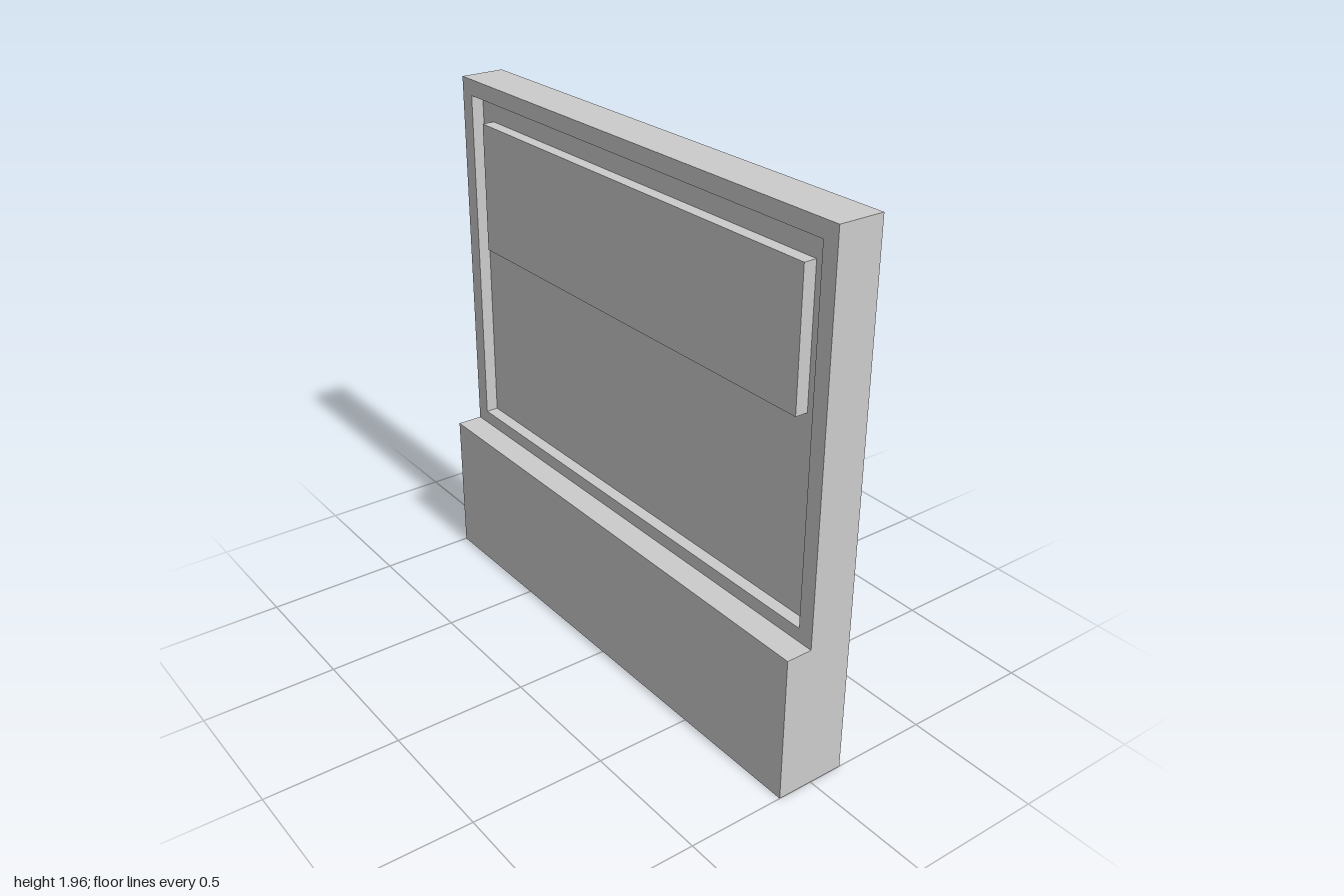
import * as THREE from 'three';

const material = new THREE.MeshStandardMaterial({ color: 0xcccccc, flatShading: true });

// Depth levels along x, from the recessed side (-x) to the plain side (+x)
const BASE_X = -0.135, FRAME_X = -0.037, FLOOR_X = 0.01, OUTER_X = 0.132;
const BASE_TOP = 0.55, TOP = 1.96;

// Box given by its extents, symmetric in z
function slab(name, x0, x1, y0, y1, halfZ) {
  const mesh = new THREE.Mesh(new THREE.BoxGeometry(x1 - x0, y1 - y0, 2 * halfZ), material);
  mesh.position.set((x0 + x1) / 2, (y0 + y1) / 2, 0);
  mesh.name = name;
  return mesh;
}

function rectangle(path, half, y0, y1) {
  path.moveTo(-half, y0);
  path.lineTo(half, y0);
  path.lineTo(half, y1);
  path.lineTo(-half, y1);
  path.closePath();
  return path;
}

export function createModel() {
  const model = new THREE.Group();
  model.name = 'wallPanel';

  // Thick plinth and the wall behind the recess
  model.add(slab('base', BASE_X, OUTER_X, 0, BASE_TOP, 1));
  model.add(slab('backWall', FLOOR_X, OUTER_X, BASE_TOP, TOP, 1));

  // Rectangular frame around the recess
  const shape = rectangle(new THREE.Shape(), 1, BASE_TOP, TOP);
  shape.holes.push(rectangle(new THREE.Path(), 0.94, 0.60, 1.90));
  const geometry = new THREE.ExtrudeGeometry(shape, { depth: FLOOR_X - FRAME_X, bevelEnabled: false });
  geometry.rotateY(Math.PI / 2);
  const frame = new THREE.Mesh(geometry, material);
  frame.position.x = FRAME_X;
  frame.name = 'frame';
  model.add(frame);

  // Raised board in the upper part of the recess
  model.add(slab('raisedBoard', FRAME_X, FLOOR_X, 1.32, 1.81, 0.87));

  return model;
}
